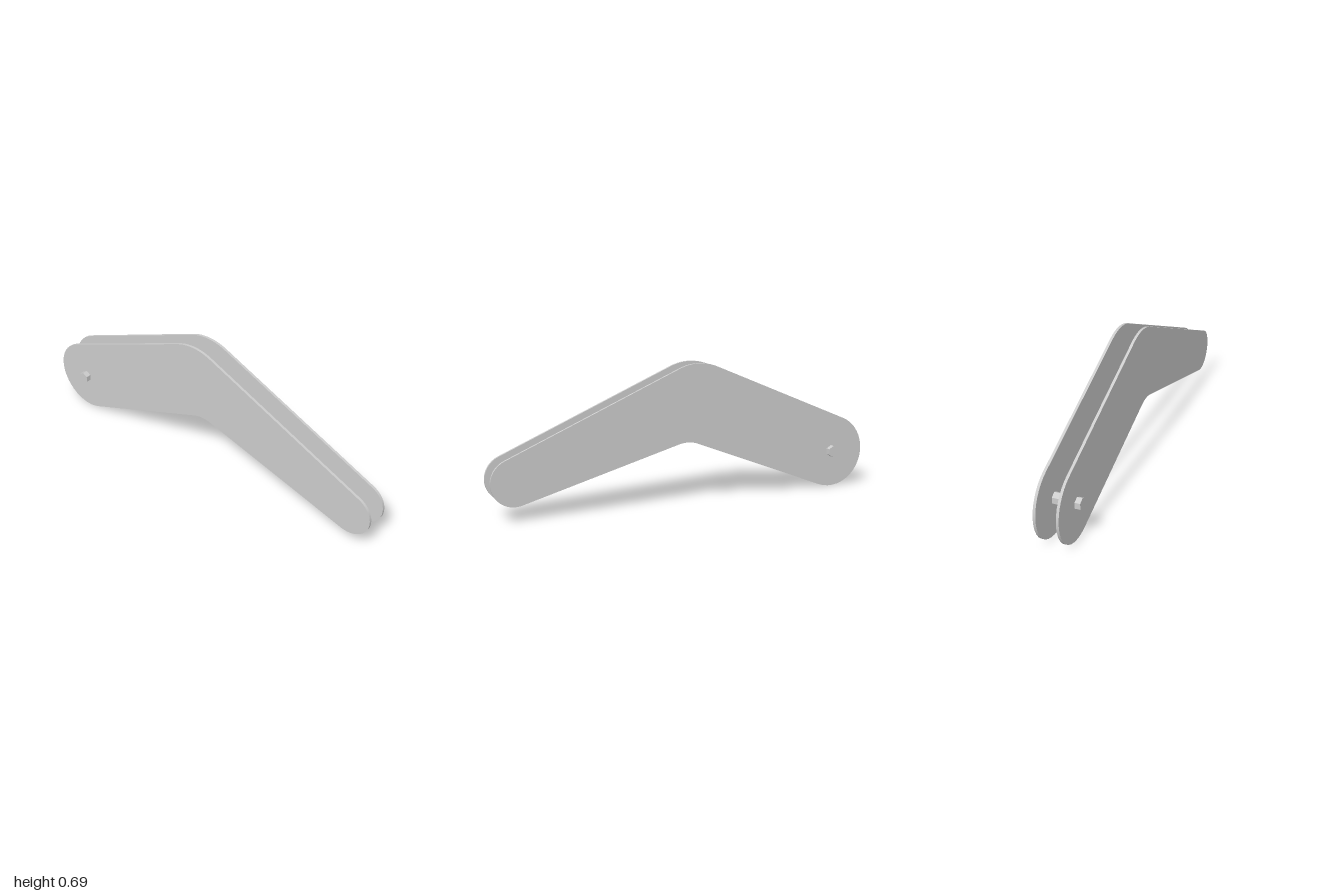
import * as THREE from 'three';
import { toCreasedNormals } from 'three/addons/utils/BufferGeometryUtils.js';

const PLATE = { x: 0.0545, thickness: 0.013 };
const PIN = { y: 0.187, z: -0.815, radius: 0.03, length: 0.176 };
const deg = THREE.MathUtils.degToRad;

// Bent arm outline: rounded ends, rounded elbow above and below.
// Shape x runs towards the back; the arcs are joined by straight edges.
function armOutline() {
  const s = new THREE.Shape();
  s.absarc(0.814, 0.186, 0.186, deg(-111.7), deg(67.2), false); // wide back end
  s.absarc(0.047, 0.43, 0.26, deg(67.2), deg(113), false); // top of elbow
  s.absarc(-0.885, 0.187, 0.115, deg(113), deg(285), false); // narrow front end
  s.absarc(-0.016, 0.136, 0.166, deg(105), deg(68.3), true); // inside of elbow
  s.closePath();
  return s;
}

export function createModel() {
  const group = new THREE.Group();
  group.name = 'bentArmPair';
  const material = new THREE.MeshStandardMaterial({ color: 0xcccccc });

  // Two matching side plates
  const extruded = new THREE.ExtrudeGeometry(armOutline(), {
    depth: PLATE.thickness, bevelEnabled: false, curveSegments: 10,
  });
  extruded.translate(0, 0, -PLATE.thickness / 2);
  extruded.rotateY(Math.PI / 2);
  const plateGeometry = toCreasedNormals(extruded, deg(35));
  for (const [name, side] of [['leftPlate', 1], ['rightPlate', -1]]) {
    const plate = new THREE.Mesh(plateGeometry, material);
    plate.name = name;
    plate.position.x = side * PLATE.x;
    group.add(plate);
  }

  // Hexagonal pin through both plates, a corner pointing up
  const pinGeometry = toCreasedNormals(
    new THREE.CylinderGeometry(PIN.radius, PIN.radius, PIN.length, 6), deg(20));
  pinGeometry.rotateY(Math.PI / 2);
  pinGeometry.rotateZ(Math.PI / 2);
  const pin = new THREE.Mesh(pinGeometry, material);
  pin.name = 'hexPin';
  pin.position.set(0, PIN.y, PIN.z);
  group.add(pin);

  return group;
}
